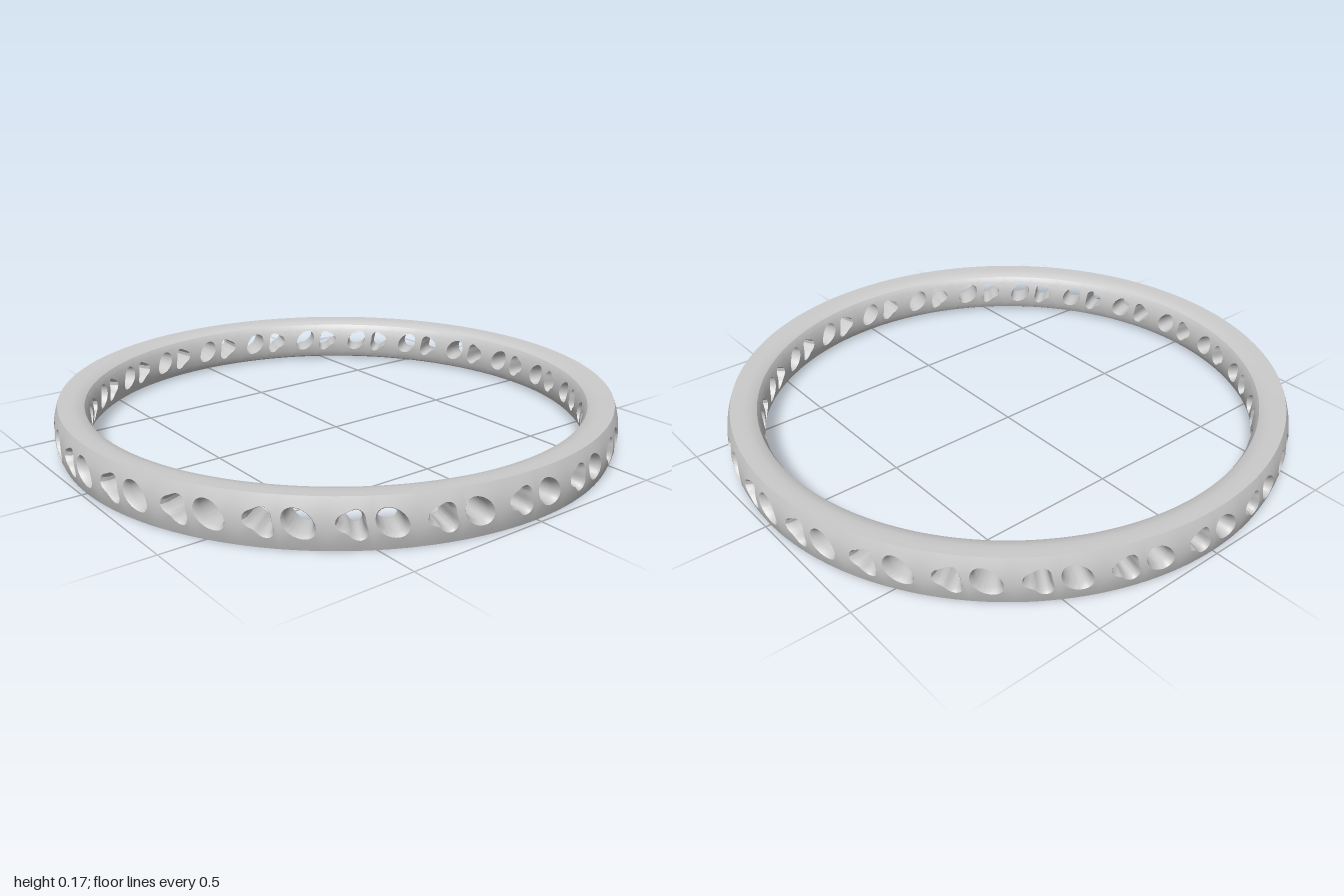
import * as THREE from 'three';
import { mergeGeometries, toCreasedNormals } from 'three/addons/utils/BufferGeometryUtils.js';

const H = 0.167, MID = H / 2;        // band height
const CELLS = 48, SIDE = 8;          // one hole per cell, samples per cell side
const CELL = (Math.PI * 2) / CELLS;
const PHASE = -0.025;                // turns the hole pairs relative to the front
const INNER_LOW = 0.025;             // where the inner wall meets the rounded rim

const outerRadius = y => 1 - 0.018 * ((y - MID) / MID) ** 2;
const innerRadius = y => 0.873 + 0.012 * ((y - MID) / (MID - INNER_LOW)) ** 2;

// Hole outlines, as radius by direction
const ovalHole = t => {
  const u = t + 0.7;
  return 1 / Math.hypot(Math.cos(u) / 0.056, Math.sin(u) / 0.04);
};
const leafHole = t => 0.044 * (1 - 0.16 * Math.cos(3 * t)) * (1 + 0.12 * Math.cos(2 * t + Math.PI / 2));

// Rows running over the outer face, through the hole and out over the inner face:
// [outline scale, depth 0 outer to 1 inner, blend towards the cell border]
const ROWS = [
  [1, 0, 1], [1, 0, 0.5], [1, 0, 0],
  [0.91, 0.06, 0], [0.83, 0.2, 0], [0.8, 0.5, 0], [0.84, 0.85, 0],
  [0.9, 1, 0], [0.9, 1, 0.5], [0.9, 1, 1],
];

// Unit square border, counter-clockwise
const border = [];
for (let s = 0; s < 4; s++) {
  for (let i = 0; i < SIDE; i++) {
    const k = -1 + (2 * i) / SIDE;
    border.push([[k, -1], [1, k], [-k, 1], [-1, -k]][s]);
  }
}

function piercedCell(index) {
  const isLeaf = index % 2 === 0;
  const outline = isLeaf ? leafHole : ovalHole;
  const centre = (index - 0.5) * CELL + PHASE;
  const shift = isLeaf ? 0.0105 : -0.0105;
  const pos = [], idx = [], n = border.length;
  ROWS.forEach(([scale, depth, blend], row) => {
    const halfHeight = depth < 0.5 ? MID : MID - INNER_LOW;
    border.forEach(([bx, by], i) => {
      const t = Math.atan2(by * MID, (bx * CELL) / 2);
      const r = outline(t) * scale;
      const a = centre + THREE.MathUtils.lerp(shift + r * Math.cos(t), (bx * CELL) / 2, blend);
      const y = THREE.MathUtils.lerp(0.088 + r * Math.sin(t), MID + by * halfHeight, blend);
      const radius = THREE.MathUtils.lerp(outerRadius(y), innerRadius(y), depth);
      pos.push(radius * Math.sin(a), y, radius * Math.cos(a));
      if (row === ROWS.length - 1) return;
      const p = row * n + i, q = row * n + ((i + 1) % n);
      idx.push(p, q, q + n, p, q + n, p + n);
    });
  });
  const g = new THREE.BufferGeometry();
  g.setAttribute('position', new THREE.Float32BufferAttribute(pos, 3));
  g.setIndex(idx);
  return g;
}

// Smooth rims, crisp outside and rounded towards the inside
function rim(top) {
  const profile = [[0.982, 0], [0.955, 0], [0.93, 0.001], [0.907, 0.005], [0.892, 0.013], [0.885, INNER_LOW]]
    .map(([r, drop]) => new THREE.Vector2(r, top ? H - drop : drop));
  if (!top) profile.reverse();
  const g = new THREE.LatheGeometry(profile, CELLS * SIDE, PHASE);
  g.deleteAttribute('uv');
  g.deleteAttribute('normal');
  return g;
}

export function createModel() {
  const parts = [rim(true), rim(false)];
  for (let i = 0; i < CELLS; i++) parts.push(piercedCell(i));
  const band = new THREE.Mesh(
    toCreasedNormals(mergeGeometries(parts), 0.5),
    new THREE.MeshStandardMaterial({ color: 0xcccccc })
  );
  band.name = 'piercedBangle';
  const group = new THREE.Group();
  group.name = 'bangle';
  group.add(band);
  return group;
}
